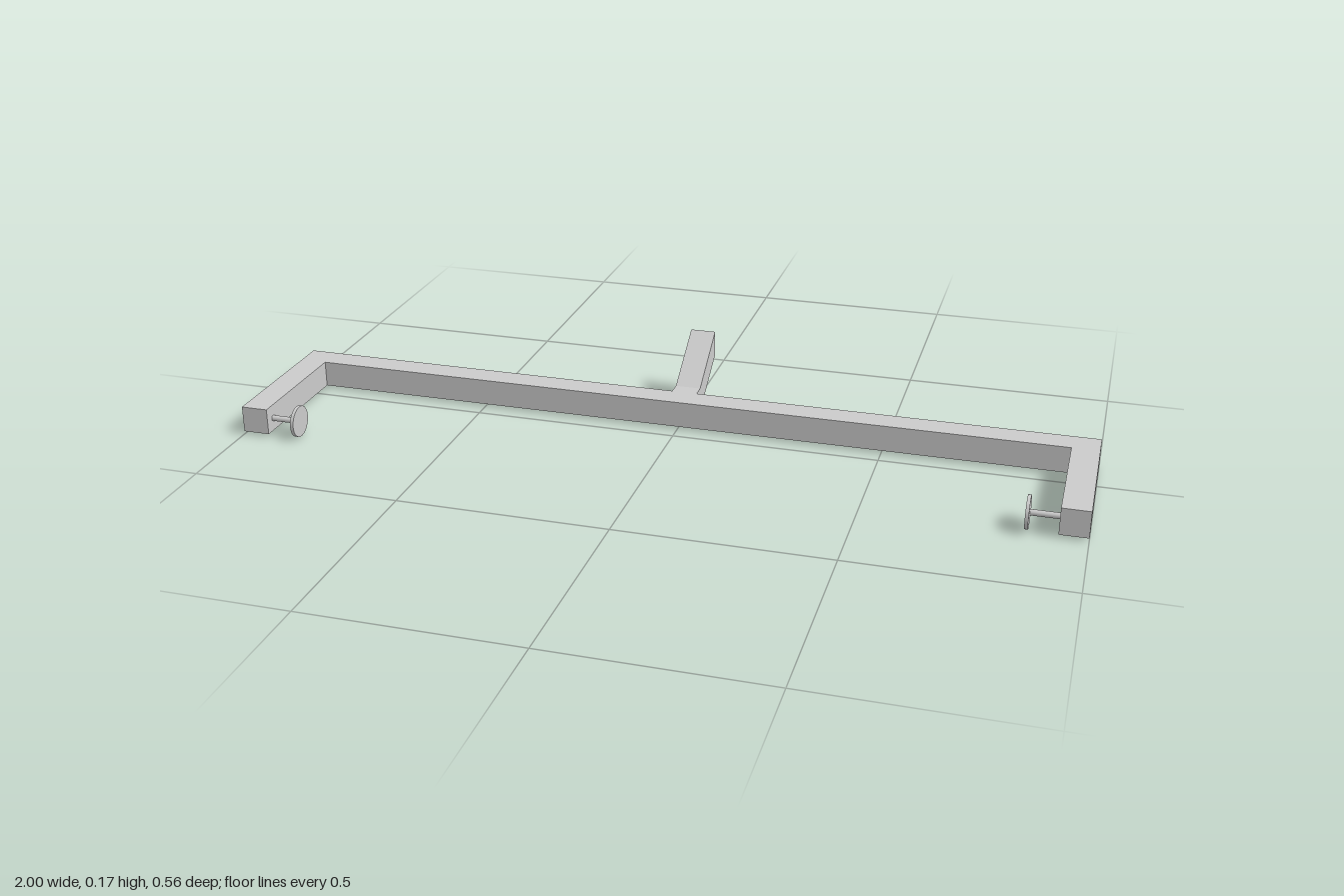
import * as THREE from 'three';

const material = new THREE.MeshStandardMaterial({ color: 0xcccccc });

// Closed outline extruded by depth
function extrude(points, depth) {
  const shape = new THREE.Shape(points.map(([x, y]) => new THREE.Vector2(x, y)));
  return new THREE.ExtrudeGeometry(shape, { depth, bevelEnabled: false });
}

function addPart(parent, name, geometry) {
  const mesh = new THREE.Mesh(geometry, material);
  mesh.name = name;
  parent.add(mesh);
  return mesh;
}

export function createModel() {
  const model = new THREE.Group();
  model.name = 'barFrame';

  const bottom = 0.007, top = 0.071, bar = 0.065;
  const back = -0.105, front = 0.272, inner = 1 - bar;

  // U-shaped frame of square bar, outline drawn as (x, -z)
  const frame = extrude([
    [-1, -front], [-inner, -front], [-inner, -back - bar], [inner, -back - bar],
    [inner, -front], [1, -front], [1, -back], [-1, -back],
  ], top - bottom);
  frame.rotateX(-Math.PI / 2);
  frame.translate(0, bottom, 0);
  addPart(model, 'frame', frame);

  // Bent rear bracket, outline drawn as (-z, y)
  const bracketWidth = 0.062;
  const bracket = extrude([
    [-back, bottom], [0.138, bottom], [0.281, 0.102],
    [0.281, 0.167], [0.138, top], [-back, top],
  ], bracketWidth);
  bracket.rotateY(Math.PI / 2);
  bracket.translate(-bracketWidth / 2, 0, 0);
  addPart(model, 'rearBracket', bracket);

  // Inward-facing pin with a round pad at the end of each arm
  const padX = 0.866, padRadius = 0.038, pinZ = 0.244;
  for (const side of [-1, 1]) {
    const clamp = new THREE.Group();
    clamp.name = side > 0 ? 'leftClamp' : 'rightClamp';
    clamp.position.set(0, padRadius, pinZ);

    const pin = new THREE.CylinderGeometry(0.007, 0.007, inner - padX, 24);
    pin.rotateZ(Math.PI / 2);
    addPart(clamp, 'pin', pin).position.x = side * (inner + padX) / 2;

    const pad = new THREE.CylinderGeometry(padRadius, padRadius, 0.008, 40);
    pad.rotateZ(Math.PI / 2);
    addPart(clamp, 'pad', pad).position.x = side * padX;

    model.add(clamp);
  }

  return model;
}
